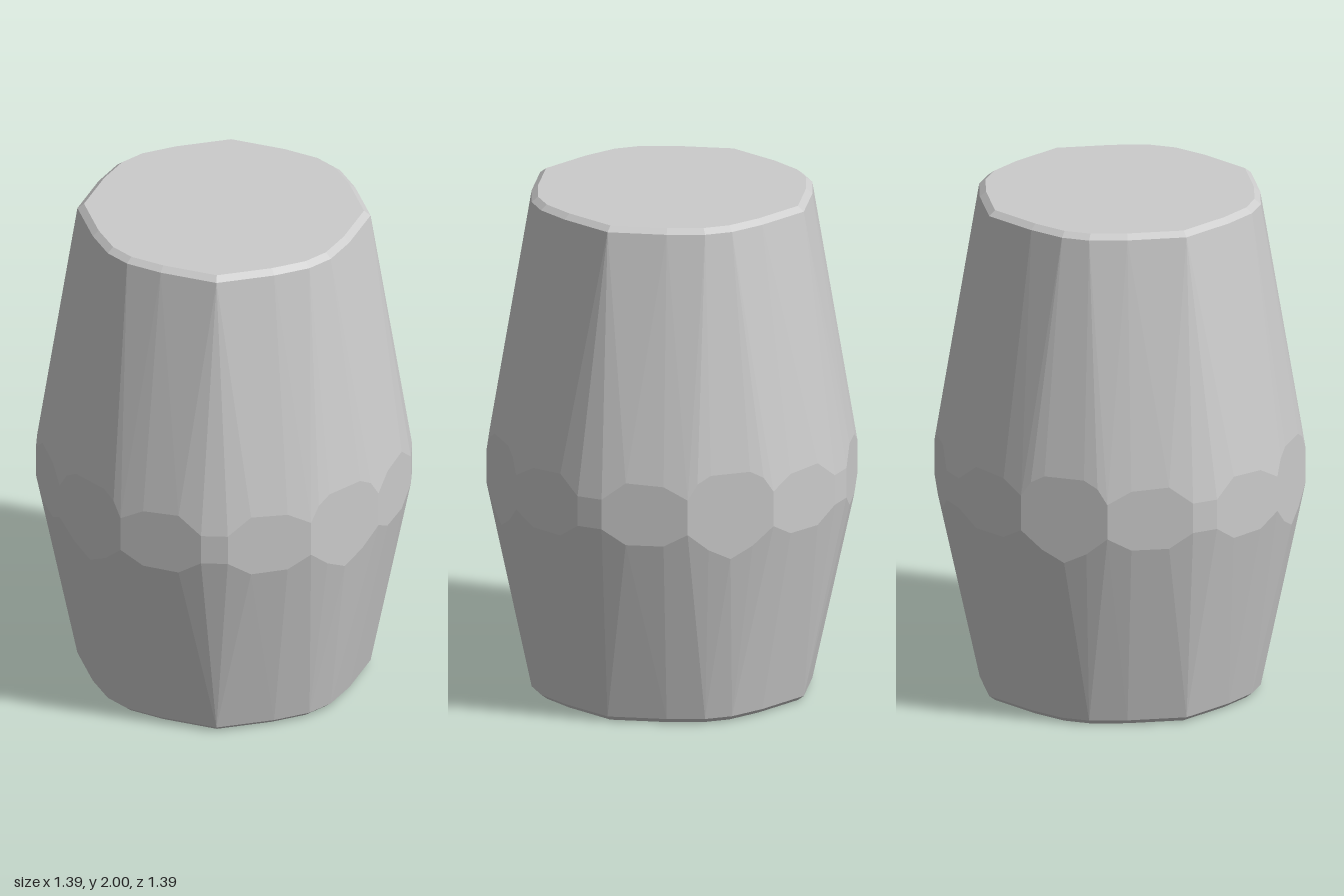
import * as THREE from 'three';
import { ConvexGeometry } from 'three/addons/geometries/ConvexGeometry.js';

// Corners of one eighth of the body, [x, y, z] with x <= z
const eighth = [];

// Rims: chamfered top and bottom outlines (plan points, outer and inner)
const rim = [[0.055, 0.553], [0.195, 0.505], [0.4, 0.4]];
for (const [x, z] of rim) {
  eighth.push([x, 1.98, z], [x, 0.02, z]);
  eighth.push([x * 0.955, 2, z * 0.955], [x * 0.955, 0, z * 0.955]);
}

// Belly: front facet, rounded off above and below
eighth.push([0.08, 1.05, 0.695], [0.135, 1.02, 0.695], [0, 0.705, 0.695], [0.09, 0.75, 0.695]);

// Belly: slanted facet beside it, [share of its width, low y, high y]
for (const [t, low, high] of [[0, 0.82, 0.96], [0.28, 0.77, 1.01], [0.72, 0.77, 1.02], [1, 0.83, 0.95]]) {
  const x = THREE.MathUtils.lerp(0.175, 0.475, t);
  const z = THREE.MathUtils.lerp(0.695, 0.548, t);
  eighth.push([x, low, z], [x, high, z]);
}

// Mirror the eighth around the vertical axis, dropping repeats
function mirrored(points) {
  const unique = new Map();
  for (const [x, y, z] of points) {
    for (const [a, b] of [[x, z], [z, x]]) {
      for (const sx of [1, -1]) {
        for (const sz of [1, -1]) {
          const p = new THREE.Vector3(a * sx + 0, y, b * sz + 0);
          unique.set(`${p.x},${p.y},${p.z}`, p);
        }
      }
    }
  }
  return [...unique.values()];
}

export function createModel() {
  const group = new THREE.Group();
  group.name = 'facetedBarrel';
  const material = new THREE.MeshStandardMaterial({ color: 0xcccccc, flatShading: true });
  const body = new THREE.Mesh(new ConvexGeometry(mirrored(eighth)), material);
  body.name = 'barrelBody';
  group.add(body);
  return group;
}
